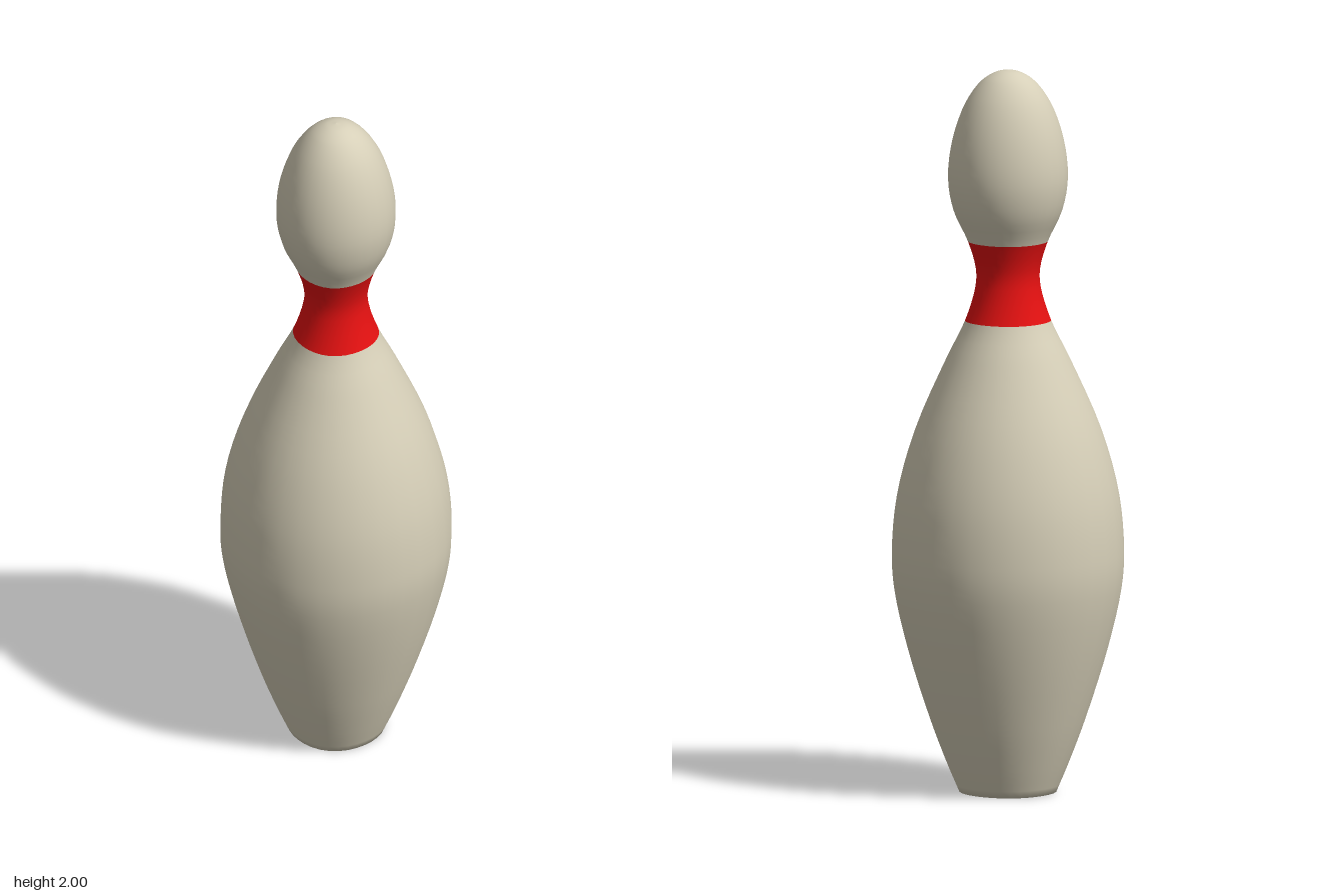
import * as THREE from 'three';

const SIDES = 32;
const STEPS = 4; // profile rows between two control points

// Silhouette from the foot to the crown: [radius, height]
const PROFILE = [
  [0.13, 0], [0.163, 0.08], [0.207, 0.2], [0.268, 0.4], [0.303, 0.56], [0.31, 0.66],
  [0.297, 0.82], [0.25, 1.0], [0.165, 1.2], [0.115, 1.305],
  [0.087, 1.4], [0.086, 1.45], [0.107, 1.525],
  [0.145, 1.61], [0.16, 1.7], [0.148, 1.81], [0.113, 1.91], [0.07, 1.97], [0.032, 1.994], [0, 2],
];
const rowAt = (height) => 1 + STEPS * PROFILE.findIndex((p) => p[1] === height);

// Whole surface of revolution, with a slightly squared cross-section
function makeSurface() {
  const curve = new THREE.CatmullRomCurve3(PROFILE.map(([r, y]) => new THREE.Vector3(r, y, 0)));
  const points = curve.getPoints(STEPS * (PROFILE.length - 1))
    .map((p) => new THREE.Vector2(Math.max(p.x, 0), p.y));
  points.unshift(new THREE.Vector2(0, 0)); // closes the foot
  const geometry = new THREE.LatheGeometry(points, SIDES);
  const pos = geometry.attributes.position;
  for (let i = 0; i < pos.count; i++) {
    const x = pos.getX(i), z = pos.getZ(i);
    const k = 1 + 0.028 * Math.sin(2 * Math.atan2(z, x)) ** 2;
    pos.setXYZ(i, x * k, pos.getY(i), z * k);
  }
  return { geometry, rows: points.length };
}

// Keeps only the rings between two rows, so normals stay continuous across colours
function slice({ geometry, rows }, from, to) {
  const index = [];
  for (let s = 0; s < SIDES; s++) {
    for (let r = from; r < to; r++) {
      const a = s * rows + r, b = a + rows;
      index.push(a, b, a + 1, b + 1, a + 1, b);
    }
  }
  const part = geometry.clone();
  part.setIndex(index);
  return part;
}

export function createModel() {
  const ivory = new THREE.MeshStandardMaterial({ color: 0xd6cfb8 });
  ivory.name = 'ivory';
  const red = new THREE.MeshStandardMaterial({ color: 0xe41111 });
  red.name = 'red';

  const group = new THREE.Group();
  group.name = 'bowlingPin';
  const surface = makeSurface();
  const add = (name, geometry, material) => {
    const mesh = new THREE.Mesh(geometry, material);
    mesh.name = name;
    group.add(mesh);
  };

  const bandLow = rowAt(1.305), bandHigh = rowAt(1.525);
  add('body', slice(surface, 1, bandLow), ivory);
  add('neckBand', slice(surface, bandLow, bandHigh), red);
  add('head', slice(surface, bandHigh, surface.rows - 1), ivory);

  // Flat underside
  const base = slice(surface, 0, 1).toNonIndexed();
  base.computeVertexNormals();
  add('base', base, red);
  return group;
}
